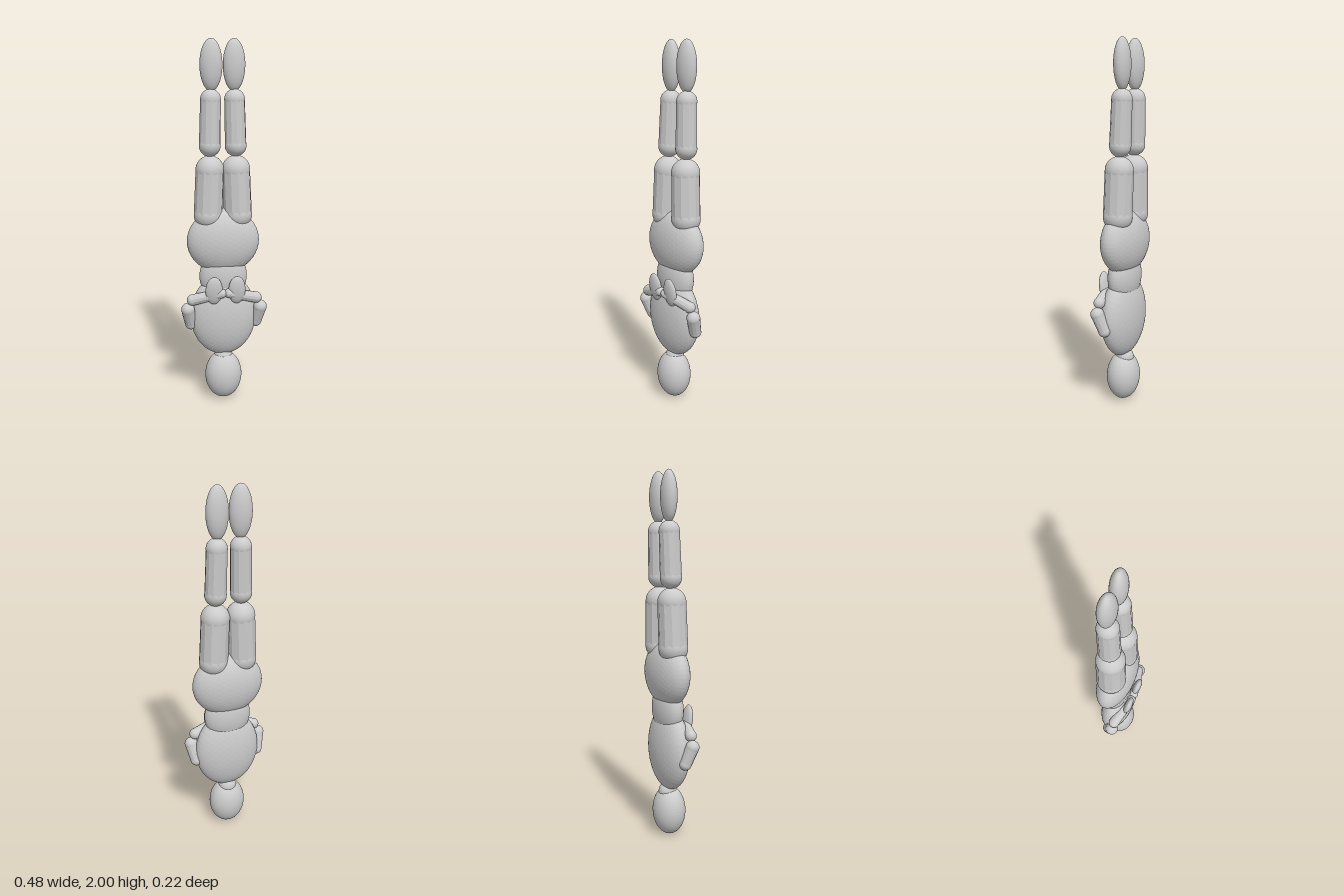
import * as THREE from 'three';

const material = new THREE.MeshStandardMaterial({ color: 0xcccccc, flatShading: true });
const ball = new THREE.IcosahedronGeometry(1, 7);

// Faceted ellipsoid with given centre and radii
function ellipsoid(name, center, radii, tilt = [0, 0, 0]) {
  const mesh = new THREE.Mesh(ball, material);
  mesh.name = name;
  mesh.position.set(...center);
  mesh.scale.set(...radii);
  mesh.rotation.set(...tilt);
  return mesh;
}

// Limb segment: 12-sided tapered cylinder with a ball at each end
function limb(name, from, to, r0, r1) {
  const group = new THREE.Group();
  group.name = name;
  const a = new THREE.Vector3(...from);
  const b = new THREE.Vector3(...to);
  const axis = b.clone().sub(a);
  const shaft = new THREE.Mesh(
    new THREE.CylinderGeometry(r1, r0, axis.length(), 12, 1, true), material);
  shaft.name = name + 'Shaft';
  shaft.position.copy(a).add(b).multiplyScalar(0.5);
  shaft.quaternion.setFromUnitVectors(new THREE.Vector3(0, 1, 0), axis.normalize());
  group.add(
    shaft,
    ellipsoid(name + 'Start', from, [r0, r0, r0]),
    ellipsoid(name + 'End', to, [r1, r1, r1]));
  return group;
}

export function createModel() {
  const model = new THREE.Group();
  model.name = 'upsideDownFigure';

  // Head and trunk, head down
  model.add(
    ellipsoid('head', [0, 0.139, 0], [0.104, 0.139, 0.09]),
    limb('neck', [0, 0.2, -0.007], [0, 0.25, -0.007], 0.052, 0.052),
    ellipsoid('chest', [0, 0.5, -0.002], [0.186, 0.236, 0.09]),
    ellipsoid('waist', [0, 0.725, -0.009], [0.133, 0.15, 0.072]),
    ellipsoid('hips', [0, 0.925, -0.013], [0.2, 0.183, 0.097]));

  // Mirrored arms and legs
  for (const [side, s] of [['left', 1], ['right', -1]]) {
    model.add(
      // Legs pointing up
      limb(side + 'Thigh', [s * 0.081, 1.07, -0.016], [s * 0.071, 1.317, -0.02], 0.079, 0.077),
      limb(side + 'Shin', [s * 0.07, 1.445, -0.025], [s * 0.064, 1.688, -0.032], 0.058, 0.055),
      ellipsoid(side + 'Foot', [s * 0.061, 1.865, -0.033], [0.06, 0.135, 0.043], [0, s * 0.12, 0]),
      // Arms folded in front of the body
      limb(side + 'UpperArm', [s * 0.184, 0.455, 0.004], [s * 0.203, 0.55, 0.036], 0.033, 0.037),
      limb(side + 'Forearm', [s * 0.178, 0.606, 0.04], [s * 0.02, 0.65, 0.08], 0.031, 0.026),
      ellipsoid(side + 'Hand', [s * 0.063, 0.668, 0.082], [0.047, 0.081, 0.022], [0.13, 0, 0]));
  }
  return model;
}
